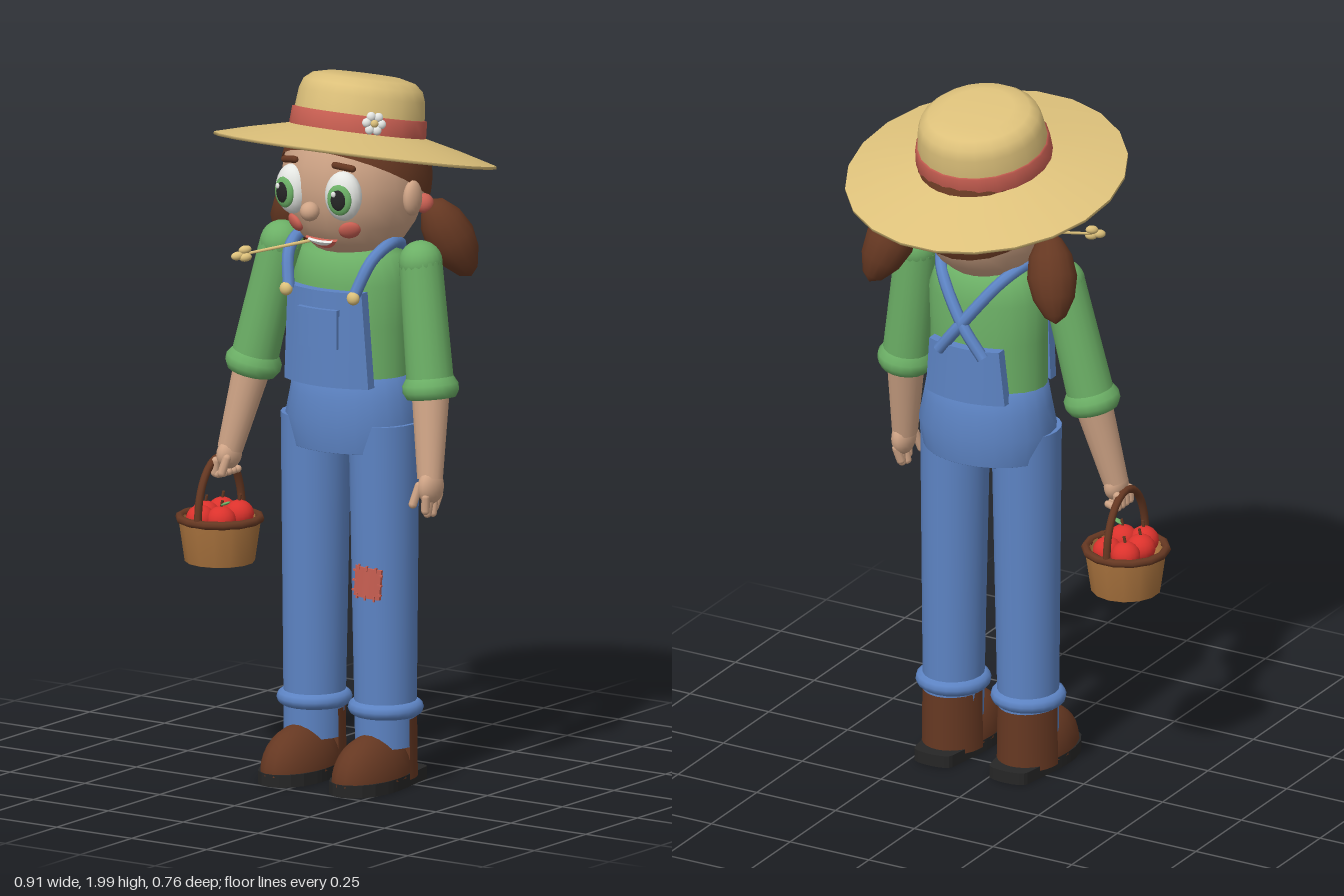
import * as THREE from 'three';

const mat = (name, color, side = THREE.FrontSide) => {
  const m = new THREE.MeshStandardMaterial({ color, side });
  m.name = name;
  return m;
};
const straw = mat('straw', 0xdcc07a), red = mat('faded red', 0xc95f52), skin = mat('skin', 0xcfa486);
const brown = mat('dark brown', 0x663822, THREE.DoubleSide), blue = mat('denim blue', 0x5d84c4);
const green = mat('shirt green', 0x6cb066), wood = mat('basket wood', 0xa5703c, THREE.DoubleSide);
const apple = mat('apple red', 0xdc322c), white = mat('white', 0xe6e8e4), black = mat('black', 0x262626);

const V = (p) => new THREE.Vector3(...p);

function add(parent, name, geo, material, pos = [0, 0, 0], rot = [0, 0, 0], scale = [1, 1, 1]) {
  const m = new THREE.Mesh(geo, material);
  m.name = name;
  m.position.set(...pos);
  m.rotation.set(...rot);
  m.scale.set(...scale);
  parent.add(m);
  return m;
}
const ball = (parent, name, material, pos, size, rot) =>
  add(parent, name, new THREE.SphereGeometry(1, 18, 12), material, pos, rot, size);
const lathe = (pts, n = 22, start = 0) =>
  new THREE.LatheGeometry(pts.map((p) => new THREE.Vector2(...p)), n, start);
const tube = (parent, name, material, pts, r, n = 20) =>
  add(parent, name, new THREE.TubeGeometry(new THREE.CatmullRomCurve3(pts.map(V)), n, r, 8), material);

// A round shape turned so that its y axis runs from a to b
function between(parent, name, geo, material, a, b) {
  const m = add(parent, name, geo, material);
  m.position.copy(V(a)).lerp(V(b), 0.5);
  m.quaternion.setFromUnitVectors(new THREE.Vector3(0, 1, 0), V(b).sub(V(a)).normalize());
  return m;
}
const limb = (parent, name, material, a, b, ra, rb, n = 16) =>
  between(parent, name, new THREE.CylinderGeometry(rb, ra, V(a).distanceTo(V(b)), n), material, a, b);
const finger = (parent, a, b, r) =>
  between(parent, 'finger', new THREE.CapsuleGeometry(r, V(a).distanceTo(V(b)), 4, 8), skin, a, b);

// A slab bent round the body, narrowing to the top
function panel(w, h, d, bend, taper = 1) {
  const g = new THREE.BoxGeometry(w, h, d, 10, 1, 1), p = g.attributes.position;
  for (let i = 0; i < p.count; i++) {
    const x = p.getX(i) * (p.getY(i) > 0 ? taper : 1);
    p.setXYZ(i, x, p.getY(i), p.getZ(i) - bend * x * x);
  }
  g.computeVertexNormals();
  return g;
}

function crescent(w, top, bottom) {
  const s = new THREE.Shape();
  s.moveTo(-w, 0);
  s.quadraticCurveTo(0, top, w, 0);
  s.quadraticCurveTo(0, bottom, -w, 0);
  return new THREE.ExtrudeGeometry(s, { depth: 0.008, bevelEnabled: false, curveSegments: 10 });
}

function buildHat(f) {
  const hat = new THREE.Group();
  hat.name = 'hat';
  hat.position.set(0, 1.776, 0.005);
  hat.rotation.x = -0.22;
  f.add(hat);
  const start = Math.PI / 2;
  add(hat, 'brimUnderside', lathe([[0.14, 0.035], [0.3, 0.012], [0.392, -0.008], [0.392, 0]], 22, start), straw);
  add(hat, 'brim', lathe([[0.392, 0], [0.3, 0.025], [0.18, 0.053]], 22, start), straw);
  add(hat, 'crown', lathe([[0.183, 0.04], [0.18, 0.1], [0.175, 0.15], [0.165, 0.178], [0.142, 0.197],
    [0.1, 0.207], [0, 0.207]], 22, start), straw);
  add(hat, 'hatBand', lathe([[0.18, 0.046], [0.19, 0.05], [0.187, 0.098], [0.178, 0.1]], 22, start), red);
  const flower = new THREE.Group();
  flower.name = 'flower';
  flower.position.set(0.139, 0.082, 0.132);
  flower.rotation.y = 0.81;
  hat.add(flower);
  for (let i = 0; i < 6; i++) {
    const a = i * Math.PI / 3;
    ball(flower, 'petal', white, [0.021 * Math.cos(a), 0.021 * Math.sin(a), 0], [0.013, 0.013, 0.01]);
  }
  ball(flower, 'flowerCentre', straw, [0, 0, 0.006], [0.011, 0.011, 0.009]);
}

function buildHead(f) {
  ball(f, 'head', skin, [0, 1.7, 0.01], [0.2, 0.23, 0.205]);
  const cap = new THREE.SphereGeometry(1, 24, 14, 0, Math.PI * 2, 0, 1.6).rotateX(-0.48);
  add(f, 'hair', cap, brown, [0, 1.7, 0.002], [0, 0, 0], [0.209, 0.238, 0.214]);
  ball(f, 'nose', skin, [0, 1.64, 0.226], [0.027, 0.027, 0.028]);
  for (const s of [-1, 1]) {
    ball(f, 'ear', skin, [s * 0.205, 1.667, 0.025], [0.022, 0.05, 0.035]);
    const eye = new THREE.Group();
    eye.name = 'eye';
    eye.position.set(s * 0.085, 1.687, 0.186);
    eye.rotation.y = s * 0.22;
    f.add(eye);
    ball(eye, 'eyeWhite', white, [0, 0, 0], [0.053, 0.07, 0.04]);
    ball(eye, 'iris', green, [0, -0.005, 0.03], [0.036, 0.044, 0.014]);
    ball(eye, 'pupil', black, [0, -0.005, 0.038], [0.023, 0.03, 0.009]);
    ball(eye, 'glint', white, [-0.012, 0.012, 0.045], [0.007, 0.008, 0.004]);
    add(f, 'eyebrow', new THREE.CapsuleGeometry(0.01, 0.05, 4, 8), brown,
      [s * 0.09, 1.77, 0.192], [0, s * 0.35, Math.PI / 2 - s * 0.15]);
    ball(f, 'cheek', red, [s * 0.09, 1.587, 0.163], [0.031, 0.026, 0.014], [0.5, s * 0.5, 0]);
    // Pigtail, thick in the middle and narrow at both ends
    const tail = lathe([[0, -0.13], [0.03, -0.11], [0.058, -0.06], [0.07, 0], [0.06, 0.06], [0.035, 0.105], [0, 0.125]], 14);
    between(f, 'pigtail', tail, brown, [s * 0.295, 1.435, -0.125], [s * 0.22, 1.655, -0.035]);
    ball(f, 'hairTie', red, [s * 0.214, 1.645, -0.02], [0.026, 0.028, 0.026]);
  }
  add(f, 'lips', crescent(0.052, -0.01, -0.07), red, [0, 1.556, 0.166], [0.65, 0, 0]);
  add(f, 'teeth', crescent(0.04, -0.012, -0.038), white, [0, 1.553, 0.172], [0.65, 0, 0]);
  // Wheat stalk held in the mouth
  limb(f, 'stalk', straw, [-0.03, 1.545, 0.16], [-0.165, 1.513, 0.3], 0.005, 0.004, 8);
  for (const [x, y, z] of [[-0.165, 1.525, 0.3], [-0.16, 1.505, 0.305], [-0.178, 1.509, 0.318]])
    ball(f, 'grain', straw, [x, y, z], [0.012, 0.012, 0.018], [0.2, -0.75, 0]);
  limb(f, 'neck', skin, [0, 1.42, 0.01], [0, 1.55, 0.01], 0.065, 0.065);
}

function buildBody(f) {
  add(f, 'shirt', lathe([[0.172, 1.1], [0.172, 1.3], [0.176, 1.42], [0.15, 1.5], [0.065, 1.535]], 24), green,
    [0, 0, 0.02], [0, 0, 0], [1, 1, 0.75]);
  add(f, 'overallsWaist', lathe([[0, 0.95], [0.185, 0.95], [0.186, 0.951], [0.2, 1.03], [0.186, 1.1], [0.175, 1.16], [0.15, 1.165]], 24),
    blue, [0, 0, 0.013], [0, 0, 0], [1, 1, 0.8]);
  add(f, 'bib', panel(0.28, 0.27, 0.03, 2, 0.88), blue, [0, 1.275, 0.17]);
  add(f, 'pocket', panel(0.126, 0.11, 0.02, 2), blue, [0, 1.305, 0.186]);
  add(f, 'pocketHem', panel(0.13, 0.018, 0.02, 2), blue, [0, 1.352, 0.19]);
  add(f, 'backBib', panel(0.25, 0.16, 0.03, 2, 0.88), blue, [0, 1.22, -0.128], [0, Math.PI, 0]);
  for (const s of [-1, 1]) {
    tube(f, 'strap', blue, [[s * 0.108, 1.4, 0.172], [s * 0.138, 1.5, 0.125], [s * 0.145, 1.535, 0.04],
      [s * 0.1, 1.5, -0.07], [0, 1.37, -0.132], [-s * 0.07, 1.28, -0.135]], 0.017, 28);
    ball(f, 'button', straw, [s * 0.112, 1.4, 0.178], [0.019, 0.019, 0.016]);
  }
}

function buildLegs(f) {
  const sole = new THREE.Shape();
  sole.moveTo(-0.06, 0.08);
  sole.bezierCurveTo(-0.06, 0.11, 0.06, 0.11, 0.06, 0.08);
  sole.bezierCurveTo(0.075, -0.02, 0.09, -0.08, 0.085, -0.14);
  sole.bezierCurveTo(0.075, -0.29, -0.075, -0.29, -0.085, -0.14);
  sole.bezierCurveTo(-0.09, -0.08, -0.075, -0.02, -0.06, 0.08);
  const soleGeo = new THREE.ExtrudeGeometry(sole, { depth: 0.035, bevelEnabled: false, curveSegments: 8 }).rotateX(-Math.PI / 2);
  for (const s of [-1, 1]) {
    const leg = limb(f, 'trouserLeg', blue, [s * 0.119, 0.12, 0.03], [s * 0.113, 1.03, 0.03], 0.088, 0.102, 20);
    leg.scale.x = 0.94;
    add(f, 'trouserCuff', new THREE.TorusGeometry(0.083, 0.022, 10, 20), blue, [s * 0.119, 0.225, 0.03], [Math.PI / 2, 0, 0]);
    add(f, 'bootShaft', new THREE.CylinderGeometry(0.086, 0.088, 0.17, 14, 1, true, Math.PI / 2, Math.PI), brown,
      [s * 0.119, 0.115, 0.04], [0, 0, 0], [1, 1, 1.2]);
    const toe = new THREE.SphereGeometry(1, 18, 8, 0, Math.PI * 2, 0, Math.PI / 2);
    add(f, 'bootFoot', toe, brown, [s * 0.119, 0.035, 0.1], [0, 0, 0], [0.086, 0.125, 0.152]);
    add(f, 'bootSole', soleGeo, black, [s * 0.119, 0.008, 0]);
  }
  // Knee patch with stitches round its edge
  const patch = new THREE.Group();
  patch.name = 'kneePatch';
  patch.position.set(0.121, 0.59, 0.126);
  patch.rotation.z = -0.08;
  f.add(patch);
  add(patch, 'patchCloth', panel(0.085, 0.085, 0.009, 4.5), red);
  for (let i = 0; i < 12; i++) {
    const side = i % 4, t = (Math.floor(i / 4) - 1) * 0.028, e = 0.041;
    const [x, y] = [[t, e], [t, -e], [e, t], [-e, t]][side];
    const size = side < 2 ? [0.005, 0.015, 0.006] : [0.015, 0.005, 0.006];
    add(patch, 'stitch', new THREE.BoxGeometry(...size), red, [x, y, 0.004 - 4.5 * x * x]);
  }
}

function buildArm(f, shoulder, elbow, wrist) {
  limb(f, 'sleeve', green, elbow, shoulder, 0.066, 0.06, 18);
  ball(f, 'shoulder', green, shoulder, [0.06, 0.06, 0.062]);
  const cuff = lathe([[0.045, -0.028], [0.068, -0.028], [0.078, -0.01], [0.078, 0.01], [0.066, 0.03]], 18);
  between(f, 'sleeveCuff', cuff, green, V(elbow).lerp(V(shoulder), -0.05).toArray(), V(elbow).lerp(V(shoulder), 0.05).toArray());
  limb(f, 'forearm', skin, wrist, elbow, 0.036, 0.054, 16);
}

function buildBasket(f) {
  const b = new THREE.Group();
  b.name = 'basket';
  b.position.set(-0.397, 0.58, 0.085);
  f.add(b);
  add(b, 'basketBody', lathe([[0, 0], [0.096, 0], [0.097, 0.001], [0.115, 0.125], [0.1, 0.125], [0.092, 0.07], [0, 0.07]], 14), wood);
  add(b, 'basketRim', new THREE.TorusGeometry(0.112, 0.012, 8, 14), brown, [0, 0.122, 0], [Math.PI / 2, 0, 0]);
  const arch = [];
  for (let i = 0; i <= 8; i++) arch.push([0, 0.12 + 0.175 * Math.sin(i * Math.PI / 8), 0.108 * Math.cos(i * Math.PI / 8)]);
  tube(b, 'basketHandle', brown, arch, 0.011);
  for (const [x, z] of [[-0.04, 0.012], [0.03, -0.05], [0.035, 0.045], [-0.03, -0.055], [-0.02, 0.065]]) {
    ball(b, 'apple', apple, [x, 0.127, z], [0.041, 0.039, 0.041]);
    limb(b, 'appleStem', brown, [x, 0.16, z], [x + 0.005, 0.183, z], 0.004, 0.004, 6);
  }
  ball(b, 'appleLeaf', green, [0.05, 0.175, 0.045], [0.016, 0.004, 0.009], [0, 0, 0.4]);
}

export function createModel() {
  const model = new THREE.Group();
  model.name = 'farmGirl';
  const f = new THREE.Group();
  f.name = 'figure';
  f.position.x = 0.062;
  model.add(f);
  buildHat(f);
  buildHead(f);
  buildBody(f);
  buildLegs(f);
  buildArm(f, [0.232, 1.49, 0.025], [0.279, 1.145, 0.045], [0.308, 0.9, 0.09]);
  buildArm(f, [-0.232, 1.49, 0.025], [-0.312, 1.145, 0.045], [-0.366, 0.9, 0.08]);
  // Left hand, relaxed
  ball(f, 'palm', skin, [0.312, 0.88, 0.092], [0.03, 0.05, 0.048]);
  for (let i = 0; i < 4; i++)
    finger(f, [0.318, 0.855, 0.06 + i * 0.022], [0.31 + (i % 2) * 0.006, 0.8 + Math.abs(i - 1.5) * 0.012, 0.07 + i * 0.018], 0.012);
  finger(f, [0.295, 0.885, 0.125], [0.285, 0.835, 0.14], 0.012);
  // Right hand, closed on the basket handle
  ball(f, 'palm', skin, [-0.366, 0.885, 0.085], [0.03, 0.042, 0.046]);
  for (let i = 0; i < 4; i++) {
    const z = 0.052 + i * 0.022;
    finger(f, [-0.388, 0.868, z], [-0.39, 0.835, z], 0.012);
    finger(f, [-0.382, 0.832, z], [-0.36, 0.838, z], 0.011);
  }
  finger(f, [-0.35, 0.88, 0.12], [-0.36, 0.84, 0.13], 0.012);
  buildBasket(f);
  return model;
}
